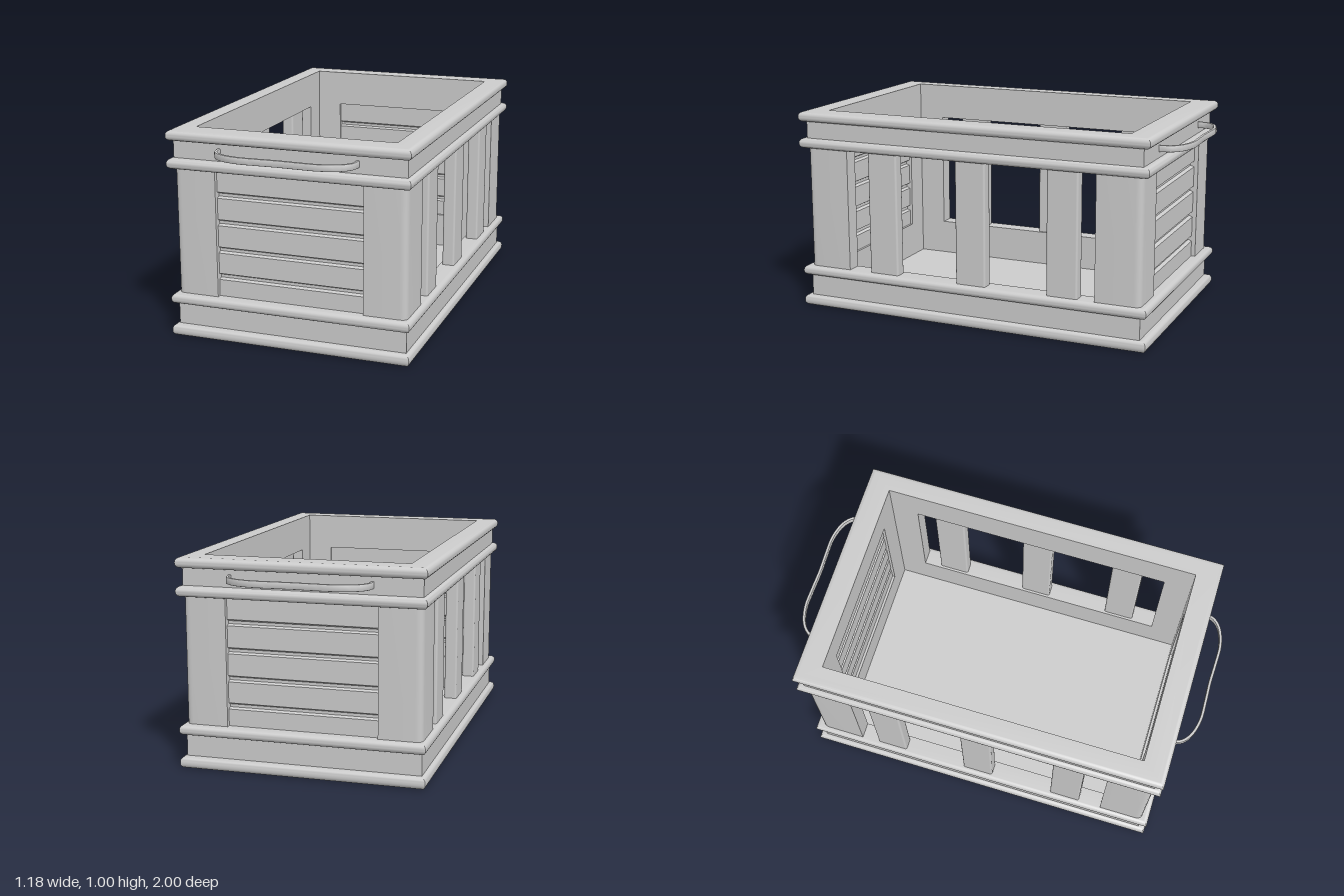
import * as THREE from 'three';
import { toCreasedNormals } from 'three/addons/utils/BufferGeometryUtils.js';
import { RoundedBoxGeometry } from 'three/addons/geometries/RoundedBoxGeometry.js';

const material = new THREE.MeshStandardMaterial({ color: 0xcccccc });

// Inner opening half sizes, and the outer half sizes of bands and rims
const IN = [0.488, 0.787], BAND = [0.565, 0.873], RIM = [0.588, 0.908];

// Sweeps a closed profile of [halfX, halfZ, y] around the four mitred corners
function ring(profile) {
  const corners = [[1, 1], [1, -1], [-1, -1], [-1, 1]];
  const pos = [];
  const at = ([sx, sz], [hx, hz, y]) => [sx * hx, y, sz * hz];
  corners.forEach((c0, i) => {
    const c1 = corners[(i + 1) % 4];
    profile.forEach((p, j) => {
      const q = profile[(j + 1) % profile.length];
      const a = at(c0, p), b = at(c1, p), c = at(c1, q), d = at(c0, q);
      pos.push(...a, ...b, ...c, ...a, ...c, ...d);
    });
  });
  const g = new THREE.BufferGeometry();
  g.setAttribute('position', new THREE.Float32BufferAttribute(pos, 3));
  return toCreasedNormals(g, 0.7);
}

// Rim moulding: flat inside, rounded along the outer edge
function rim(y0, y1) {
  const r = 0.022, p = [[...IN, y0]];
  for (const [cy, start] of [[y0 + r, -Math.PI / 2], [y1 - r, 0]]) {
    for (let i = 0; i <= 5; i++) {
      const a = start + (i / 5) * Math.PI / 2, o = r * (Math.cos(a) - 1);
      p.push([RIM[0] + o, RIM[1] + o, cy + r * Math.sin(a)]);
    }
  }
  p.push([...IN, y1]);
  return ring(p);
}

const band = (y0, y1) => ring([[...IN, y0], [...BAND, y0], [...BAND, y1], [...IN, y1]]);

// Extrudes a plan outline (x, z) between two heights
function plan(shape, y0, y1, bevel = 0) {
  const g = new THREE.ExtrudeGeometry(shape, {
    depth: y1 - y0 - 2 * bevel, bevelEnabled: bevel > 0, bevelSize: bevel,
    bevelThickness: bevel, bevelOffset: -bevel, bevelSegments: 2, curveSegments: 6,
  });
  g.rotateX(Math.PI / 2).translate(0, y1 - bevel, 0);
  return toCreasedNormals(g, 0.7);
}

// L-shaped corner post with a rounded outer corner
function cornerPost(sx, sz) {
  const [X, Z] = BAND, r = 0.035, s = new THREE.Shape();
  s.moveTo(sx * 0.36, sz * IN[1]);
  s.lineTo(sx * 0.36, sz * Z);
  s.lineTo(sx * (X - r), sz * Z);
  s.quadraticCurveTo(sx * X, sz * Z, sx * X, sz * (Z - r));
  s.lineTo(sx * X, sz * 0.65);
  s.lineTo(sx * IN[0], sz * 0.65);
  s.lineTo(sx * IN[0], sz * IN[1]);
  return plan(s, 0.2, 0.83);
}

// End panel of five planks, with chamfered grooves on both faces
function endPanel(sz) {
  const grooves = [0.305, 0.435, 0.568, 0.7], out = 0.852, inn = 0.8, deep = 0.018;
  const face = (z, d) => [[z, 0.2],
    ...grooves.flatMap(y => [[z, y - 0.015], [z + d, y - 0.008], [z + d, y + 0.006], [z, y + 0.015]]),
    [z, 0.83]];
  const pts = [...face(out, -deep), ...face(inn, deep).reverse()];
  const s = new THREE.Shape(pts.map(([z, y]) => new THREE.Vector2(sz * z, y)));
  const g = new THREE.ExtrudeGeometry(s, { depth: 0.74, bevelEnabled: false });
  return g.rotateY(-Math.PI / 2).translate(0.37, 0, 0);
}

// Bowed strap handle
function handle(sz) {
  const curve = new THREE.CatmullRomCurve3([[-0.335, 0.865], [-0.325, 0.925], [-0.285, 0.965],
    [-0.2, 0.992], [-0.1, 0.993], [0, 0.99], [0.1, 0.993], [0.2, 0.992], [0.285, 0.965],
    [0.325, 0.925], [0.335, 0.865]].map(([x, z]) => new THREE.Vector3(x, 0, z)));
  const outer = [], inner = [], n = 40, w = 0.007;
  for (let i = 0; i <= n; i++) {
    const p = curve.getPoint(i / n), t = curve.getTangent(i / n);
    outer.push(new THREE.Vector2(p.x - t.z * w, sz * (p.z + t.x * w)));
    inner.unshift(new THREE.Vector2(p.x + t.z * w, sz * (p.z - t.x * w)));
  }
  return plan(new THREE.Shape([...outer, ...inner]), 0.895, 0.927, 0.004);
}

export function createModel() {
  const model = new THREE.Group();
  model.name = 'crate';
  const add = (name, geometry) => {
    const mesh = new THREE.Mesh(geometry, material);
    mesh.name = name;
    model.add(mesh);
    return mesh;
  };

  // Base and top frames
  add('floor', new THREE.BoxGeometry(IN[0] * 2 + 0.02, 0.028, IN[1] * 2 + 0.02)).position.y = 0.015;
  add('bottomRim', rim(0, 0.055));
  add('lowerBand', band(0.04, 0.175));
  add('lowerRim', rim(0.16, 0.21));
  add('upperRim', rim(0.817, 0.867));
  add('upperBand', band(0.85, 0.965));
  add('topRim', rim(0.95, 1));

  // Ends: panel and handle; corners
  for (const sz of [1, -1]) {
    const end = sz > 0 ? 'front' : 'back';
    add(end + 'Panel', endPanel(sz));
    add(end + 'Handle', handle(sz));
    for (const sx of [1, -1]) add(end + (sx > 0 ? 'Left' : 'Right') + 'Post', cornerPost(sx, sz));
  }

  // Upright slats along the open sides
  for (const sx of [1, -1]) {
    for (const z of [0.457, -0.015, -0.485]) {
      const slat = add(sx > 0 ? 'leftSlat' : 'rightSlat', new RoundedBoxGeometry(0.062, 0.63, 0.156, 2, 0.01));
      slat.position.set(sx * 0.531, 0.515, z);
    }
  }
  return model;
}
